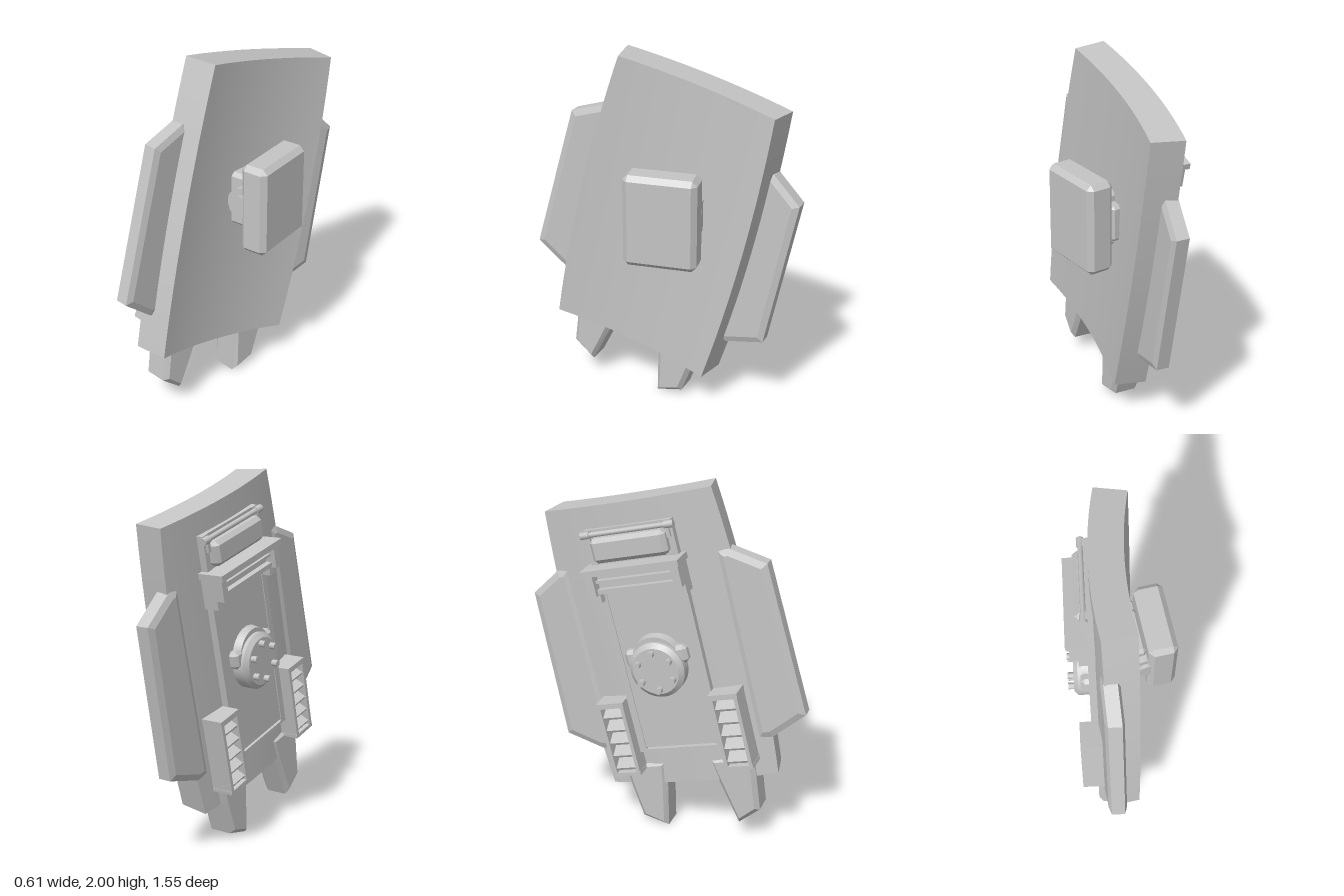
import * as THREE from 'three';
import { ConvexGeometry } from 'three/addons/geometries/ConvexGeometry.js';

const grey = new THREE.MeshStandardMaterial({ color: 0xc4c4c4 });
grey.name = 'light grey';

function add(parent, name, geometry, x = 0, y = 0, z = 0) {
  const mesh = new THREE.Mesh(geometry, grey);
  mesh.name = name;
  mesh.position.set(x, y, z);
  parent.add(mesh);
  return mesh;
}

// Plain box given by its limits on each axis
function box(parent, name, [x0, x1], [y0, y1], [z0, z1]) {
  return add(parent, name, new THREE.BoxGeometry(x1 - x0, y1 - y0, z1 - z0),
    (x0 + x1) / 2, (y0 + y1) / 2, (z0 + z1) / 2);
}

// Box with all edges chamfered by c, given by its limits on each axis
function chamferBox(parent, name, [x0, x1], [y0, y1], [z0, z1], c) {
  const hx = (x1 - x0) / 2, hy = (y1 - y0) / 2, hz = (z1 - z0) / 2;
  const points = [];
  for (const i of [-1, 1]) for (const j of [-1, 1]) for (const k of [-1, 1]) {
    points.push(
      new THREE.Vector3(i * hx, j * (hy - c), k * (hz - c)),
      new THREE.Vector3(i * (hx - c), j * hy, k * (hz - c)),
      new THREE.Vector3(i * (hx - c), j * (hy - c), k * hz));
  }
  return add(parent, name, new ConvexGeometry(points), (x0 + x1) / 2, (y0 + y1) / 2, (z0 + z1) / 2);
}

// Bevelled slab cut from an outline, mirrored when side is -1
function slab(outline, side, thickness, bevelDepth, bevelSize) {
  const shape = new THREE.Shape(outline.map(([x, y]) => new THREE.Vector2(side * x, y)));
  const geometry = new THREE.ExtrudeGeometry(shape, {
    depth: thickness - 2 * bevelDepth, bevelEnabled: true, bevelThickness: bevelDepth,
    bevelSize, bevelOffset: -bevelSize, bevelSegments: 1,
  });
  return geometry.translate(0, 0, bevelDepth - thickness / 2);
}

// Curved main plate: barrel-sided, bent around its long axis
function plateGeometry() {
  const R = 2.58;
  const geometry = new THREE.BoxGeometry(2, 1.62, 0.18, 20, 16, 1);
  const p = geometry.attributes.position;
  for (let i = 0; i < p.count; i++) {
    const y = p.getY(i), r = R + p.getZ(i);
    const half = 0.473 - 0.01 * y + 0.036 * (1 - (y / 0.81) ** 2);
    const angle = p.getX(i) * half / R;
    p.setXYZ(i, r * Math.sin(angle), y, r * Math.cos(angle) - R + 0.043);
  }
  geometry.computeVertexNormals();
  return geometry;
}

// Louvred vent: open frame with slanted slats
function vent(parent, side) {
  const g = new THREE.Group();
  g.name = 'vent';
  g.position.set(side * 0.332, -0.49, 0);
  parent.add(g);
  box(g, 'ventBase', [-0.08, 0.08], [-0.22, 0.22], [0.08, 0.15]);
  for (const s of [-1, 1]) {
    box(g, 'ventWall', [s * 0.07 - 0.01, s * 0.07 + 0.01], [-0.22, 0.22], [0.1, 0.225]);
  }
  box(g, 'ventTop', [-0.082, 0.082], [0.19, 0.22], [0.1, 0.225]);
  box(g, 'ventBottom', [-0.082, 0.082], [-0.22, -0.2], [0.1, 0.225]);
  for (let i = 0; i < 5; i++) {
    const slat = add(g, 'slat', new THREE.BoxGeometry(0.13, 0.016, 0.085), 0, -0.16 + i * 0.077, 0.178);
    slat.rotation.x = 0.5;
  }
}

export function createModel() {
  const model = new THREE.Group();
  model.name = 'shield';

  // Leaning shield frame: x across, y along, z out of the decorated face
  const body = new THREE.Group();
  body.name = 'shieldBody';
  const across = new THREE.Vector3(-0.1678, 0.2397, 0.9562).normalize();
  const out = across.clone().cross(new THREE.Vector3(0.0385, 0.9704, -0.2388)).normalize();
  const along = out.clone().cross(across);
  body.quaternion.setFromRotationMatrix(new THREE.Matrix4().makeBasis(across, along, out));
  body.position.set(0.011, 1.1025, -0.027);
  model.add(body);

  add(body, 'mainPlate', plateGeometry());

  const flap = [[0.43, 0.48], [0.5, 0.475], [0.68, 0.367], [0.713, -0.487], [0.51, -0.591], [0.43, -0.591]];
  const prong = [[0.13, -0.68], [0.385, -0.68], [0.376, -0.81], [0.352, -1.013], [0.213, -1.083], [0.152, -0.81]];
  for (const side of [-1, 1]) {
    // Side flaps, tilted a little so the inner edge meets the plate face
    const geometry = slab(flap, side, 0.1, 0.014, 0.035);
    const p = geometry.attributes.position;
    for (let i = 0; i < p.count; i++) {
      p.setZ(i, p.getZ(i) + 0.042 + (0.65 - Math.abs(p.getX(i))) * 0.07);
    }
    geometry.computeVertexNormals();
    add(body, 'sideFlap', geometry);
    // Lower prongs
    add(body, 'prong', slab(prong, side, 0.17, 0.025, 0.025), 0, 0, 0.054);
    vent(body, side);
    // Rails beside the door panel
    box(body, 'doorRail', [side * 0.23 - 0.02, side * 0.23 + 0.02], [-0.6, 0.69], [0.08, 0.16]);
  }

  // Door panel with its bottom sill
  box(body, 'doorPanel', [-0.21, 0.21], [-0.575, 0.69], [0.08, 0.155]);
  box(body, 'doorSill', [-0.25, 0.25], [-0.6, -0.585], [0.08, 0.16]);

  // Shelf with a slotted front
  box(body, 'shelfTop', [-0.28, 0.28], [0.467, 0.5], [0.12, 0.268]);
  box(body, 'shelfBack', [-0.25, 0.25], [0.36, 0.47], [0.12, 0.19]);
  box(body, 'shelfLowerBar', [-0.25, 0.25], [0.355, 0.38], [0.12, 0.225]);
  box(body, 'shelfMiddleBar', [-0.22, 0.22], [0.415, 0.43], [0.15, 0.225]);
  for (const s of [-1, 1]) {
    box(body, 'shelfBracket', [s * 0.245 - 0.022, s * 0.245 + 0.022], [0.35, 0.47], [0.1, 0.25]);
    box(body, 'bracketFoot', [s * 0.245 - 0.022, s * 0.245 + 0.022], [0.3, 0.35], [0.1, 0.205]);
  }

  // Padded block and carrying bar near the top
  chamferBox(body, 'upperPad', [-0.215, 0.215], [0.515, 0.65], [0.11, 0.213], 0.022);
  const bar = add(body, 'topBar', new THREE.CylinderGeometry(0.014, 0.014, 0.5, 12), 0, 0.667, 0.168);
  bar.rotation.z = Math.PI / 2;
  for (const s of [-1, 1]) {
    const knob = add(body, 'barKnob', new THREE.CylinderGeometry(0.02, 0.02, 0.05, 12), s * 0.24, 0.667, 0.168);
    knob.rotation.z = Math.PI / 2;
    box(body, 'barPost', [s * 0.225 - 0.01, s * 0.225 + 0.01], [0.6, 0.675], [0.1, 0.175]);
  }

  // Round dial with ears and six bolts
  const disc = (name, r0, r1, depth, x, y, z, sides) => {
    add(body, name, new THREE.CylinderGeometry(r0, r1, depth, sides), x, y, z).rotation.x = Math.PI / 2;
  };
  disc('dialBase', 0.14, 0.15, 0.05, 0, -0.06, 0.175, 36);
  chamferBox(body, 'dialEars', [-0.18, 0.18], [-0.085, 0.015], [0.14, 0.205], 0.02);
  disc('dial', 0.155, 0.155, 0.07, 0, -0.1, 0.185, 36);
  disc('dialRim', 0.13, 0.155, 0.022, 0, -0.1, 0.231, 36);
  for (let i = 0; i < 6; i++) {
    const a = (i + 0.5) * Math.PI / 3;
    disc('dialBolt', 0.018, 0.018, 0.035, 0.103 * Math.cos(a), -0.1 + 0.103 * Math.sin(a), 0.257, 12);
  }

  // Upright block and its pivot on the hollow face
  const mount = new THREE.Group();
  mount.name = 'pivotMount';
  model.add(mount);
  chamferBox(mount, 'mountBlock', [0.143, 0.3], [0.92, 1.435], [-0.258, 0.143], 0.028);
  chamferBox(mount, 'mountBracket', [0.0, 0.15], [1.02, 1.33], [-0.18, 0.075], 0.02);
  chamferBox(mount, 'bracketLug', [0.07, 0.15], [1.08, 1.28], [-0.25, -0.15], 0.015);
  const pivot = add(mount, 'pivot', new THREE.CylinderGeometry(0.1, 0.1, 0.26, 32), 0.145, 1.18, -0.02);
  pivot.rotation.x = Math.PI / 2;
  const pin = add(mount, 'pivotPin', new THREE.CylinderGeometry(0.06, 0.06, 0.3, 24), 0.145, 1.18, -0.02);
  pin.rotation.x = Math.PI / 2;

  return model;
}
